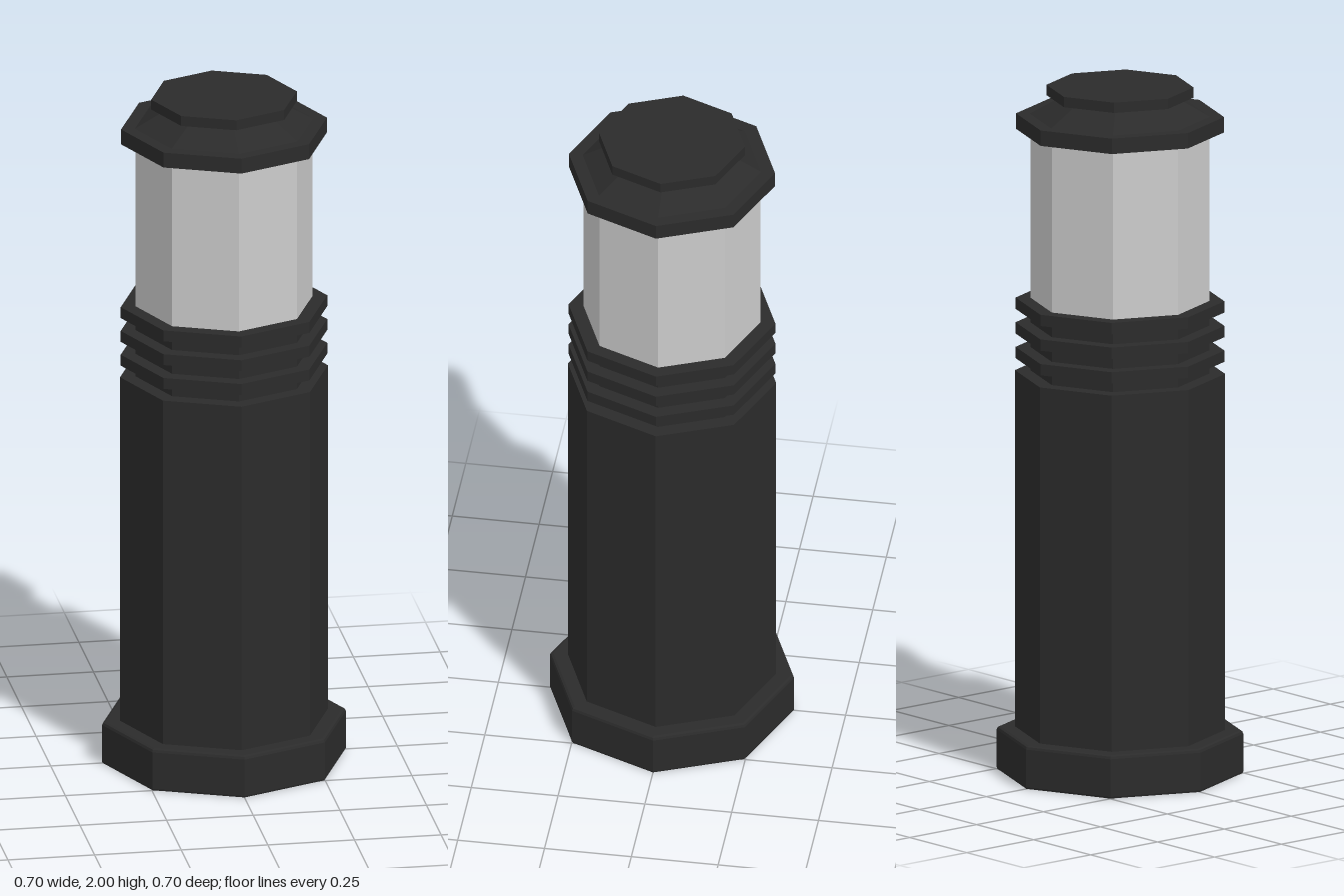
import * as THREE from 'three';

const SIDES = 8;

export function createModel() {
  const group = new THREE.Group();
  group.name = 'bollardLight';
  const dark = new THREE.MeshStandardMaterial({ color: 0x2b2b2b, flatShading: true });
  const pale = new THREE.MeshStandardMaterial({ color: 0xcccccc, flatShading: true });

  const add = (name, geometry, material) => {
    const mesh = new THREE.Mesh(geometry, material);
    mesh.name = name;
    group.add(mesh);
    return mesh;
  };

  // Octagonal prism or frustum from y0 to y1, corners on the axes
  const prism = (name, y0, y1, rBottom, rTop = rBottom, material = dark) => {
    const mesh = add(name, new THREE.CylinderGeometry(rTop, rBottom, y1 - y0, SIDES), material);
    mesh.position.y = (y0 + y1) / 2;
    return mesh;
  };

  // Foot with a softened top edge
  const footProfile = [[0, 0], [0.35, 0], [0.352, 0.005], [0.352, 0.115], [0.349, 0.122], [0.342, 0.125], [0, 0.125]];
  add('foot', new THREE.LatheGeometry(footProfile.map(([r, y]) => new THREE.Vector2(r, y)), SIDES), dark);

  // Post and louvred neck
  prism('post', 0.125, 1.165, 0.3);
  prism('neck', 1.165, 1.345, 0.255);
  for (let i = 0; i < 3; i++) {
    const y = 1.2 + i * 0.072;
    prism('louvre' + (i + 1), y, y + 0.033, 0.298);
  }

  // Lamp housing
  prism('lampGlass', 1.375, 1.872, 0.255, 0.255, pale);

  // Stepped cap: eave, sloped roof, top plate
  prism('capEave', 1.87, 1.915, 0.297);
  prism('capRoof', 1.915, 1.97, 0.257, 0.16);
  prism('capPlate', 1.97, 2, 0.21);

  return group;
}
